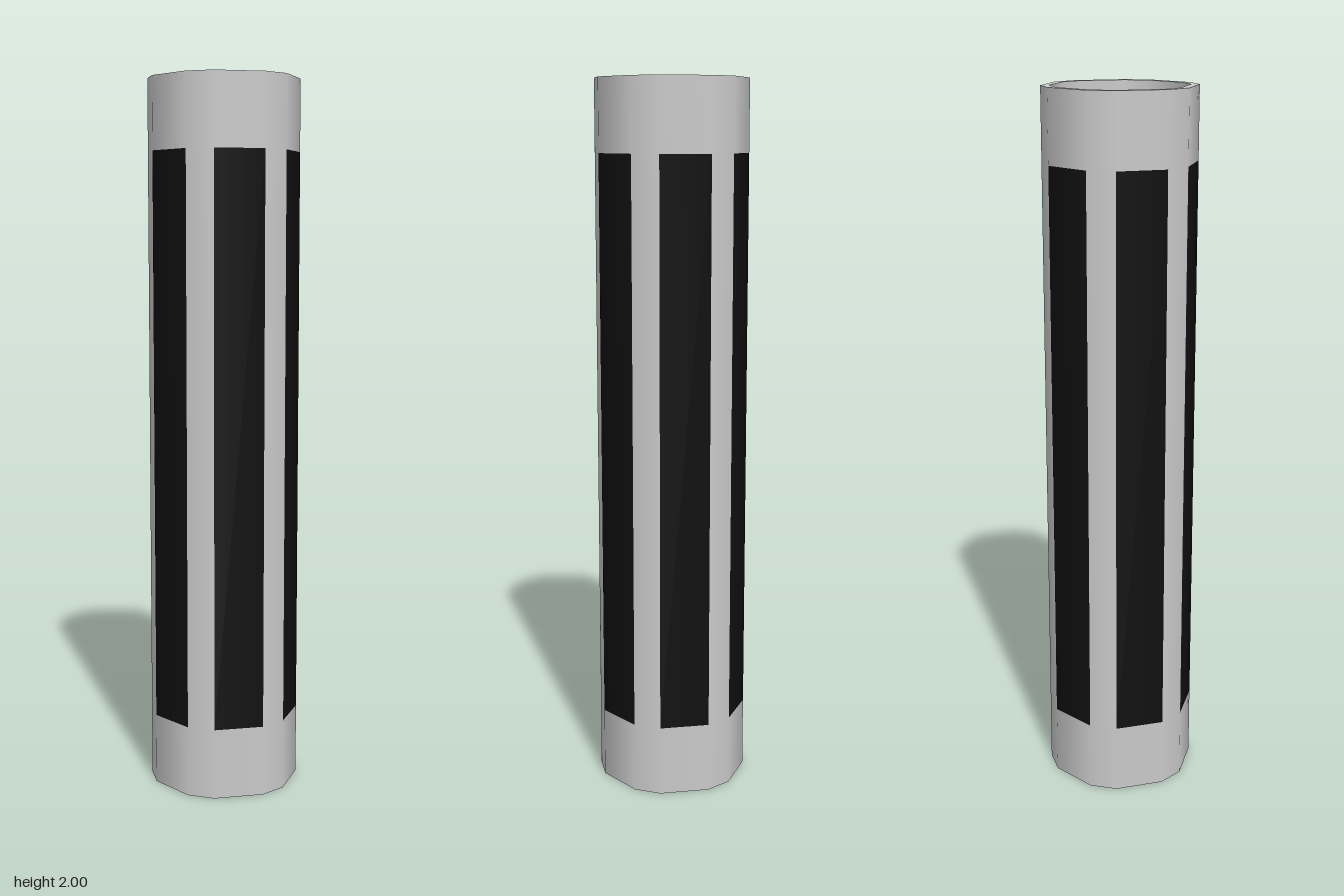
import * as THREE from 'three';

const INNER = 0.89;      // size of the recesses relative to the outer wall
const DEPTH = 0.1;       // depth of the end recesses
const HALF = Math.atan2(0.07, 0.2), RADIUS = Math.hypot(0.2, 0.07);

// Twelve corners with alternating wide and narrow sides; even sides are wide
const corners = [];
for (let i = 0; i < 6; i++) {
  for (const s of [-1, 1]) {
    const a = i * Math.PI / 3 + s * HALF;
    corners.push(new THREE.Vector2(RADIUS * Math.cos(a), RADIUS * Math.sin(a)));
  }
}
const outline = (scale) => corners.map((p) => p.clone().multiplyScalar(scale));

// Smooth-shaded vertical wall over the chosen sides, facing out or in
function wall(sides, y0, y1, scale = 1, facing = 1) {
  const pos = [], nor = [], idx = [];
  for (const i of sides) {
    const a = corners[i], b = corners[(i + 1) % 12], n = pos.length / 3;
    for (const [p, y] of [[a, y0], [b, y0], [b, y1], [a, y1]]) {
      pos.push(p.x * scale, y, -p.y * scale);
      nor.push(facing * p.x / RADIUS, 0, -facing * p.y / RADIUS);
    }
    const quad = [0, 1, 2, 0, 2, 3];
    if (facing < 0) quad.reverse();
    idx.push(...quad.map((k) => k + n));
  }
  const g = new THREE.BufferGeometry();
  g.setAttribute('position', new THREE.Float32BufferAttribute(pos, 3));
  g.setAttribute('normal', new THREE.Float32BufferAttribute(nor, 3));
  g.setIndex(idx);
  return g;
}

// Flat horizontal face, optionally with the recess opening cut out
function plate(scale, y, up, hole) {
  const shape = new THREE.Shape(outline(scale));
  if (hole) shape.holes.push(new THREE.Path(outline(hole)));
  return new THREE.ShapeGeometry(shape).rotateX(up ? -Math.PI / 2 : Math.PI / 2).translate(0, y, 0);
}

export function createModel() {
  const grey = new THREE.MeshStandardMaterial({ color: 0xcccccc });
  const black = new THREE.MeshStandardMaterial({ color: 0x101010 });
  const model = new THREE.Group();
  model.name = 'column';
  const add = (name, geometry, material = grey) => {
    const mesh = new THREE.Mesh(geometry, material);
    mesh.name = name;
    model.add(mesh);
  };
  const all = corners.map((_, i) => i);

  // Outer body: solid end bands, narrow strips and dark panels between them
  add('lowerBand', wall(all, 0, 0.2));
  add('upperBand', wall(all, 1.8, 2));
  for (const i of all) {
    const wide = i % 2 === 0;
    add(wide ? 'darkPanel' : 'strip', wall([i], 0.2, 1.8), wide ? black : grey);
  }

  // Recessed ends
  add('topRim', plate(1, 2, true, INNER));
  add('topRecessWall', wall(all, 2 - DEPTH, 2, INNER, -1));
  add('topRecessFloor', plate(INNER, 2 - DEPTH, true));
  add('bottomRim', plate(1, 0, false, INNER), black);
  add('bottomRecessWall', wall(all, 0, DEPTH, INNER, -1));
  add('bottomRecessFloor', plate(INNER, DEPTH, false));
  return model;
}
